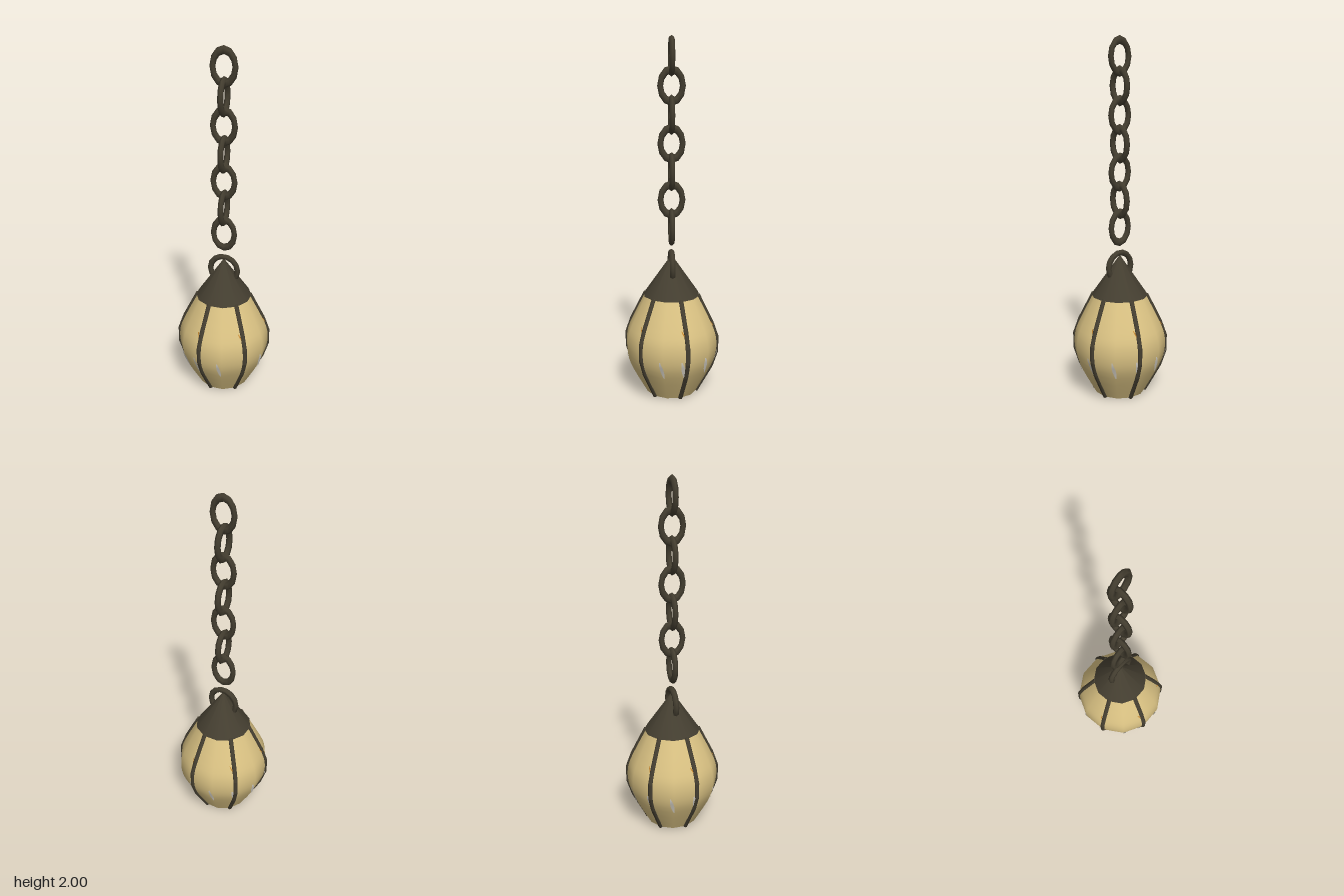
import * as THREE from 'three';

const SIDES = 12;
const STEP = Math.PI / 6;

export function createModel() {
  const metal = new THREE.MeshStandardMaterial({ color: 0x443e30 });
  metal.name = 'dark iron';
  const paper = new THREE.MeshStandardMaterial({ color: 0xdac283, side: THREE.DoubleSide });
  paper.name = 'cream shade';
  const pale = new THREE.MeshStandardMaterial({ color: 0xd2cdc2, side: THREE.DoubleSide });
  pale.name = 'pale fleck';
  const amber = new THREE.MeshStandardMaterial({ color: 0xc98a32, side: THREE.DoubleSide });
  amber.name = 'amber fleck';

  const model = new THREE.Group();
  model.name = 'hangingLantern';
  const add = (geometry, material, name) => {
    const mesh = new THREE.Mesh(geometry, material);
    mesh.name = name;
    model.add(mesh);
    return mesh;
  };

  // Shade: open twelve-sided bulb
  const profile = [[0.145, 0.01], [0.23, 0.165], [0.26, 0.255], [0.26, 0.345], [0.23, 0.43], [0.152, 0.585]]
    .map(([r, y]) => new THREE.Vector2(r, y));
  const curve = new THREE.SplineCurve(profile);
  add(new THREE.LatheGeometry(curve.getPoints(15), SIDES, STEP / 2), paper, 'shade');

  // Six bent ribs, bevelled, lying along alternate corners of the shade
  const outline = [
    ...profile.map(p => new THREE.Vector2(p.x + 0.004, p.y)),
    ...profile.map(p => new THREE.Vector2(p.x - 0.006, p.y)).reverse(),
  ];
  const ribGeometry = new THREE.ExtrudeGeometry(new THREE.Shape(outline), {
    depth: 0.01, bevelEnabled: true, bevelSize: 0.005, bevelThickness: 0.007, bevelSegments: 1,
  });
  ribGeometry.translate(0, 0, -0.005);
  for (let i = 0; i < 6; i++) {
    add(ribGeometry, metal, 'rib').rotation.y = STEP / 2 + i * 2 * STEP;
  }

  // Conical cap
  const cap = add(new THREE.ConeGeometry(0.16, 0.23, SIDES, 1, false, STEP / 2), metal, 'cap');
  cap.position.y = 0.695;

  // Hanging ring through the cap
  const ring = add(new THREE.TorusGeometry(0.08, 0.017, 6, 14), metal, 'capRing');
  ring.position.y = 0.742;

  // Chain of oval links, each turned a quarter from the last
  const linkGeometry = new THREE.TorusGeometry(0.061, 0.016, 6, 12).scale(1, 1.4, 1);
  for (let i = 0; i < 7; i++) {
    const link = add(linkGeometry, metal, 'chainLink');
    link.position.y = 0.967 + i * 0.1543;
    link.rotation.y = (i % 2) * Math.PI / 2;
  }

  // Thin slivers that follow the faceted wall of the shade
  const radiusAt = (y, angle) => {
    let k = 1;
    while (k < profile.length - 1 && profile[k].y < y) k++;
    const a = profile[k - 1], b = profile[k];
    const r = a.x + (b.x - a.x) * (y - a.y) / (b.y - a.y);
    const off = angle - Math.round(angle / STEP) * STEP;
    return r * Math.cos(STEP / 2) / Math.cos(off) + 0.006;
  };
  const fleck = (degrees, y, width, height, material, name) => {
    const geometry = new THREE.PlaneGeometry(width, height, 2, 6);
    const pos = geometry.attributes.position;
    for (let i = 0; i < pos.count; i++) {
      const t = pos.getY(i) / height;
      const x = pos.getX(i) * (1 - 3 * t * t) - t * 0.02;
      const angle = THREE.MathUtils.degToRad(degrees) + x / 0.25;
      const h = y + pos.getY(i);
      const r = radiusAt(h, angle);
      pos.setXYZ(i, Math.sin(angle) * r, h, Math.cos(angle) * r);
    }
    geometry.computeVertexNormals();
    add(geometry, material, name);
  };
  for (const degrees of [11, -21, -43, 73, 100, 133, 163, 193, 223, 253, 283]) {
    fleck(degrees, 0.22, 0.02, 0.1, pale, 'paleFleck');
  }
  for (let i = 0; i < 6; i++) fleck(41 + i * 60, 0.42, 0.008, 0.04, amber, 'amberFleck');

  return model;
}
